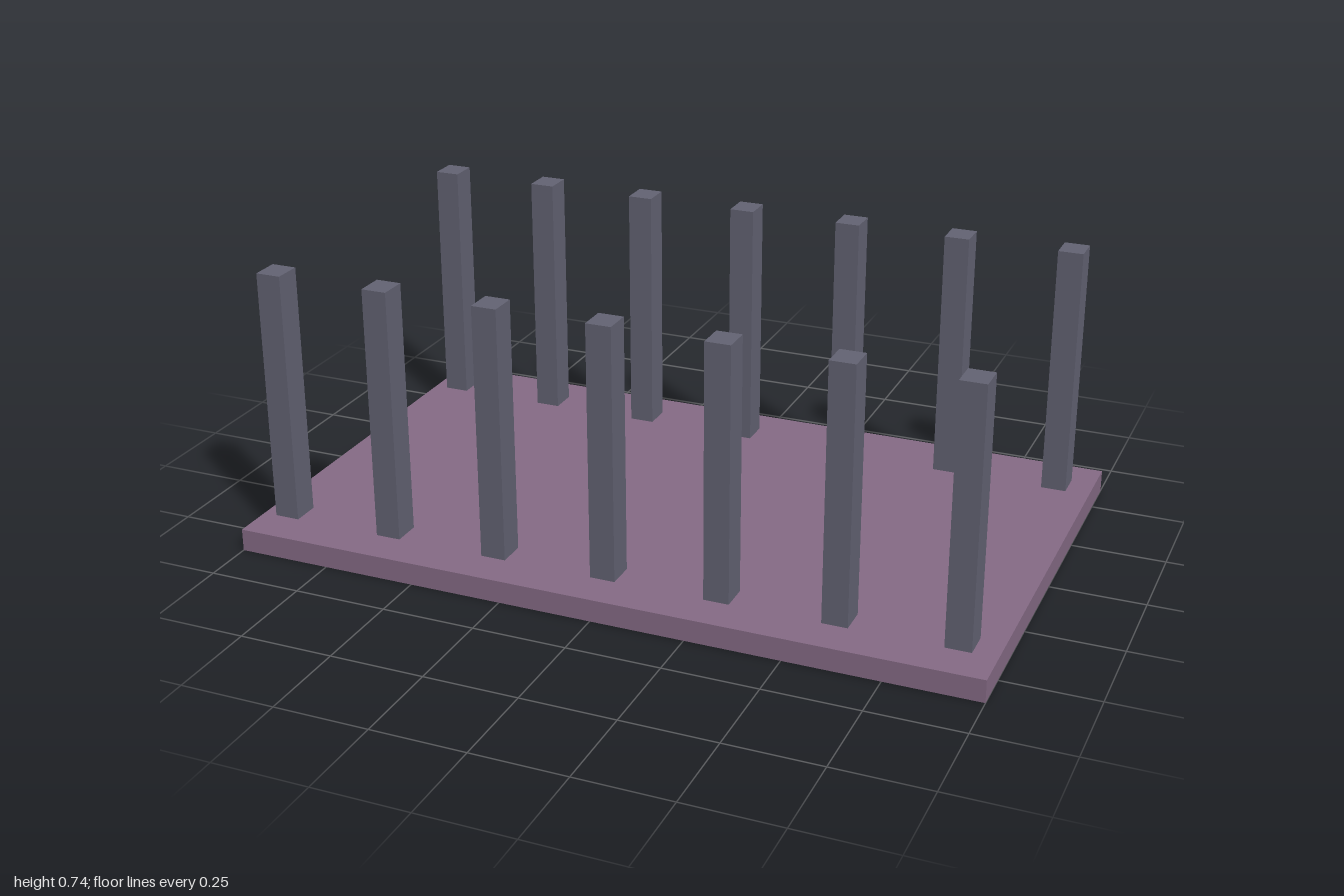
import * as THREE from 'three';

export function createModel() {
  const model = new THREE.Group();
  model.name = 'colonnade';

  const plum = new THREE.MeshStandardMaterial({ name: 'dusty plum', color: 0x866b86 });
  const slate = new THREE.MeshStandardMaterial({ name: 'slate grey', color: 0x646474 });

  // Flat base slab
  const baseHeight = 0.06;
  const base = new THREE.Mesh(new THREE.BoxGeometry(2, baseHeight, 1.22), plum);
  base.name = 'base';
  base.position.y = baseHeight / 2;
  model.add(base);

  // Two rows of seven square posts, set slightly off centre on the slab
  const postHeight = 0.68;
  const postGeometry = new THREE.BoxGeometry(0.067, postHeight, 0.076);
  const rows = [['frontPost', 0.464], ['backPost', -0.482]];
  for (const [name, z] of rows) {
    for (let i = 0; i < 7; i++) {
      const post = new THREE.Mesh(postGeometry, slate);
      post.name = `${name}${i + 1}`;
      post.position.set(-0.93 + i * 0.3053, baseHeight + postHeight / 2, z);
      model.add(post);
    }
  }

  return model;
}
